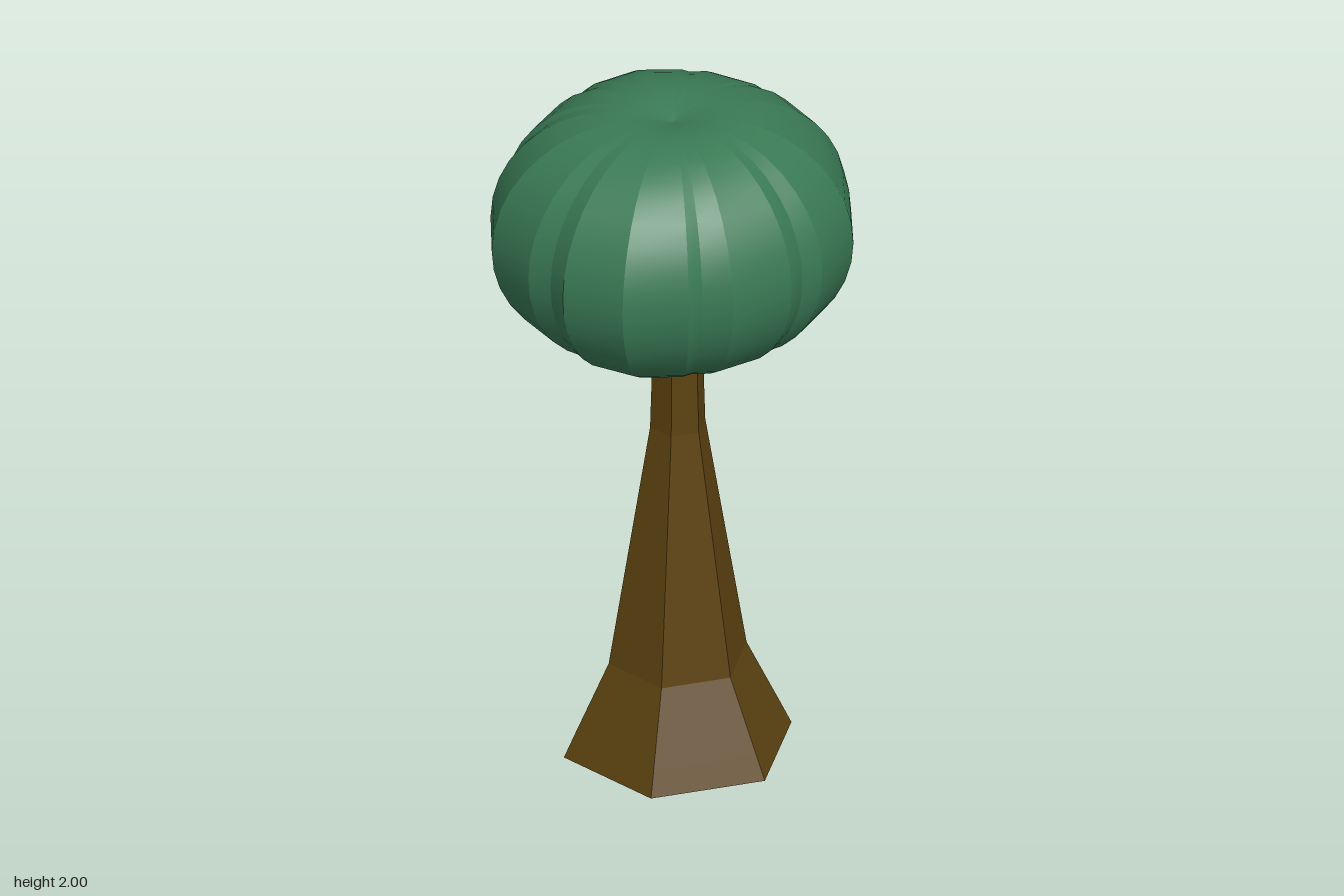
import * as THREE from 'three';

// Joins rings of [x, y, z] points (bottom to top). Each side column has its own
// vertices, so it is smooth vertically and keeps a crease to its neighbours.
function loft(rings) {
  const pos = [], index = [], n = rings[0].length, rows = rings.length;
  for (let i = 0; i < n; i++) {
    const base = pos.length / 3;
    for (const ring of rings) pos.push(...ring[i], ...ring[(i + 1) % n]);
    for (let j = 0; j < rows - 1; j++) {
      const a = base + 2 * j, b = a + 1;
      index.push(b, a, a + 2, b, a + 2, b + 2);
    }
  }
  const geo = new THREE.BufferGeometry();
  geo.setAttribute('position', new THREE.Float32BufferAttribute(pos, 3));
  geo.setIndex(index);
  geo.computeVertexNormals();
  return geo;
}

function addMesh(group, name, geo, color, flatShading = false) {
  const mat = new THREE.MeshStandardMaterial({ color, flatShading, side: THREE.DoubleSide });
  const mesh = new THREE.Mesh(geo, mat);
  mesh.name = name;
  group.add(mesh);
}

export function createModel() {
  const tree = new THREE.Group();
  tree.name = 'tree';

  // Six-sided trunk flaring to the ground
  const hexRing = (y, r) => Array.from({ length: 6 }, (_, i) => {
    const a = i * Math.PI / 3;
    return [0.03 + r * Math.cos(a), y, 0.01 + r * Math.sin(a)];
  });
  const trunk = [[0, 0.33], [0.07, 0.298], [0.28, 0.2], [1.02, 0.08], [1.36, 0.07]]
    .map(([y, r]) => hexRing(y, r));
  // The root on the -x side is pinched in above a low toe
  trunk[0][3][0] = -0.29;
  trunk[1][3][0] = -0.18;
  trunk[2][3][0] = -0.18;
  addMesh(tree, 'trunk', loft(trunk), 0x5c4210, true);

  // Underside of the trunk
  const base = new THREE.ShapeGeometry(
    new THREE.Shape(trunk[0].map(([x, , z]) => new THREE.Vector2(x, z))));
  base.rotateX(Math.PI / 2);
  addMesh(tree, 'trunkBase', base, 0xcccccc);

  // Lobed outline of the crown at its widest, as x, z pairs
  const outline = [
    [0.05, -0.51], [0.225, -0.465], [0.31, -0.395], [0.44, -0.265], [0.49, -0.085],
    [0.475, -0.02], [0.49, 0.04], [0.44, 0.225], [0.38, 0.285], [0.37, 0.33],
    [0.24, 0.46], [0.06, 0.51], [-0.01, 0.485], [-0.085, 0.495], [-0.265, 0.45],
    [-0.395, 0.315], [-0.415, 0.235], [-0.445, 0.205], [-0.49, 0.03], [-0.475, -0.03],
    [-0.49, -0.09], [-0.445, -0.265], [-0.31, -0.395], [-0.27, -0.405], [-0.22, -0.46],
    [-0.04, -0.505], [-0.005, -0.495],
  ];
  // Crown: a round tube profile swept round the outline, dimpled at both poles
  const tube = 0.355, offset = 0.14, steps = 22;
  const pole = Math.acos(-offset / tube);
  const crown = [];
  for (let j = 0; j <= steps; j++) {
    const t = pole * (2 * j / steps - 1);
    const s = (offset + tube * Math.cos(t)) / (offset + tube);
    crown.push(outline.map(([x, z]) => [x * s, 1.645 + tube * Math.sin(t), z * s]));
  }
  addMesh(tree, 'crown', loft(crown), 0x3a7a55);

  return tree;
}
